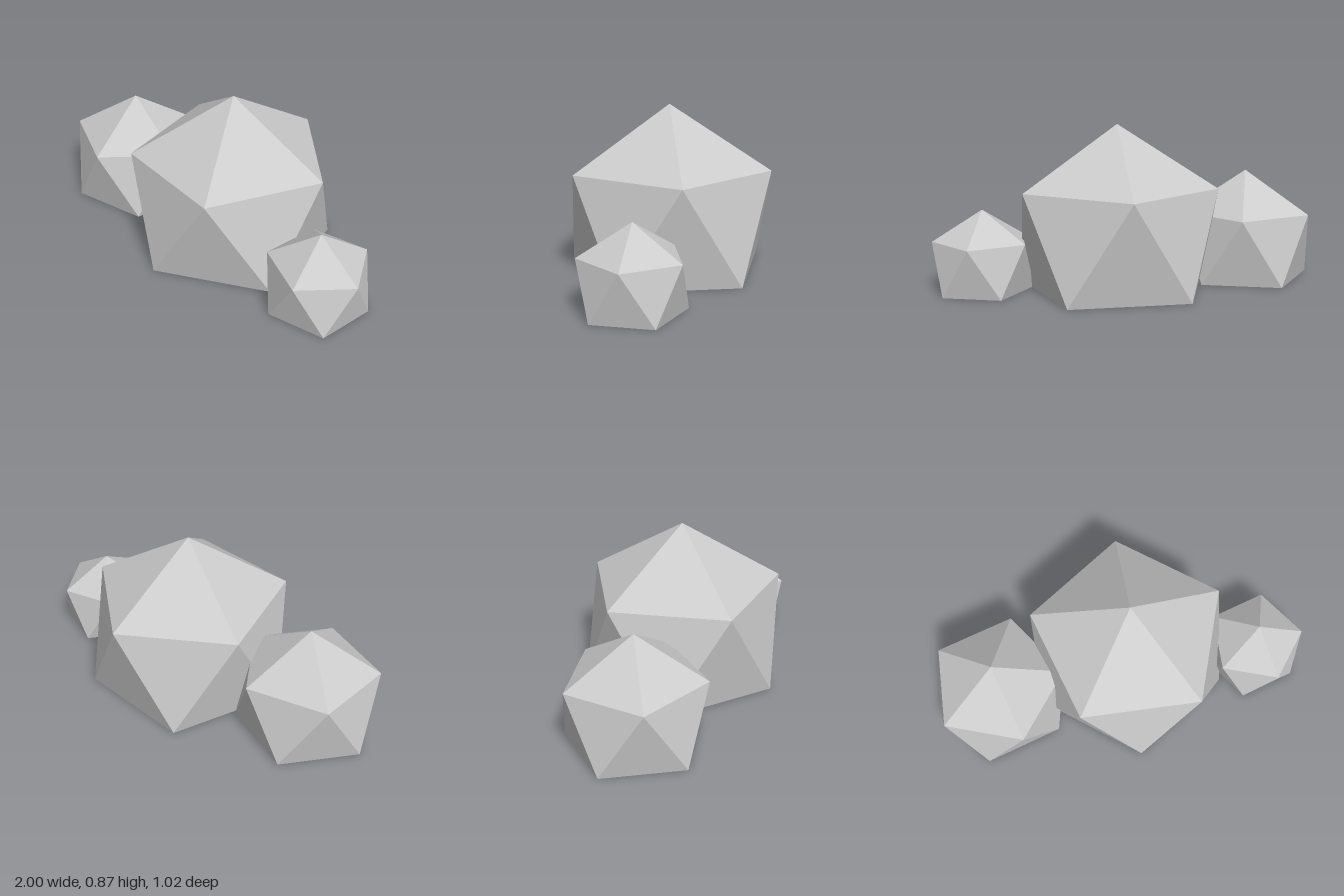
import * as THREE from 'three';

const material = new THREE.MeshStandardMaterial({ color: 0xcccccc, flatShading: true });

// An icosahedron standing on a point, cut flat at its lower ring.
// In a regular icosahedron the ring radius equals the distance between the two rings.
function rockGeometry(ring, turn) {
  const at = (i, y) => {
    const a = turn + (i * Math.PI) / 5;
    return [ring * Math.sin(a), y, ring * Math.cos(a)];
  };
  const apex = [0, ring * (1 + Math.sqrt(5)) / 2, 0];
  const positions = [];
  for (let i = 0; i < 10; i += 2) {
    const upper = at(i, ring), nextUpper = at(i + 2, ring);
    const lower = at(i + 1, 0), nextLower = at(i + 3, 0);
    positions.push(
      ...apex, ...upper, ...nextUpper,        // cap
      ...upper, ...lower, ...nextUpper,       // side, pointing down
      ...lower, ...nextLower, ...nextUpper,   // side, pointing up
      0, 0, 0, ...nextLower, ...lower         // flat base
    );
  }
  const geometry = new THREE.BufferGeometry();
  geometry.setAttribute('position', new THREE.Float32BufferAttribute(positions, 3));
  geometry.computeVertexNormals();
  return geometry;
}

export function createModel() {
  const group = new THREE.Group();
  group.name = 'rockCluster';

  const rocks = [
    { name: 'largeRock', ring: 0.535, x: 0.083, z: -0.001, turn: Math.PI / 2 },
    { name: 'mediumRock', ring: 0.364, x: -0.654, z: -0.118, turn: 0 },
    { name: 'smallRock', ring: 0.263, x: 0.75, z: 0.247, turn: 0 },
  ];
  for (const { name, ring, x, z, turn } of rocks) {
    const rock = new THREE.Mesh(rockGeometry(ring, turn), material);
    rock.name = name;
    rock.position.set(x, 0, z);
    group.add(rock);
  }
  return group;
}
